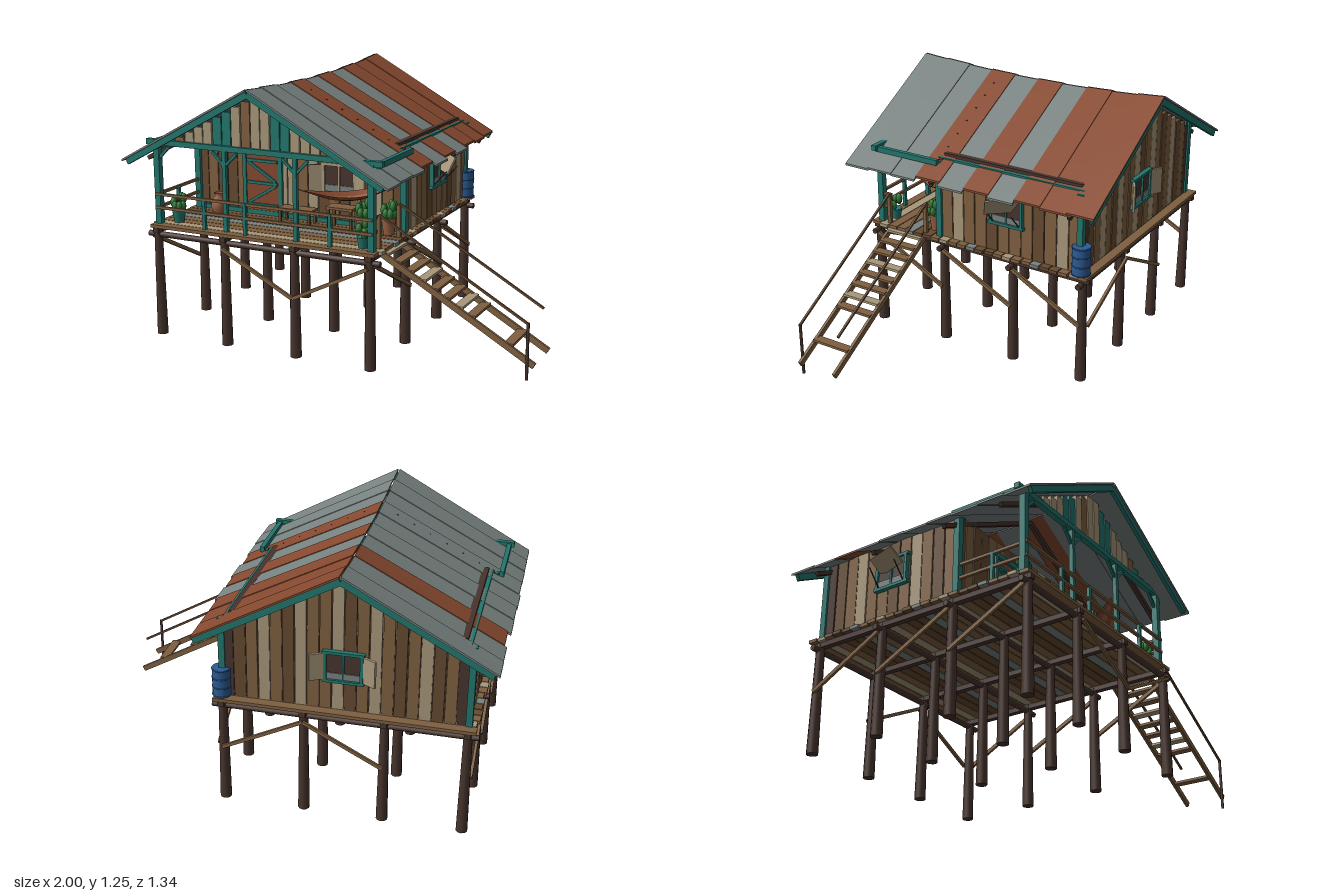
import * as THREE from 'three';

const paint = (name, color) => Object.assign(new THREE.MeshStandardMaterial({ color }), { name });
const V = (x, y, z) => new THREE.Vector3(x, y, z);
const RIDGE = -0.31, FLOOR = 0.55;

export function createModel() {
  const wood = paint('brown wood', 0x7f6040), mid = paint('umber wood', 0x664a31);
  const cream = paint('bleached wood', 0xa8977a), dark = paint('dark timber', 0x47342d);
  const grey = paint('roof tin', 0x788280), rust = paint('rust', 0x86492f);
  const teal = paint('teal paint', 0x23766e), blue = paint('drum blue', 0x2c5c96);
  const green = paint('leaf green', 0x2f7a36);
  const clay = paint('cloth and clay', 0x9a6244);
  clay.side = THREE.DoubleSide;

  const model = new THREE.Group();
  model.name = 'stiltHouse';
  let part = model;
  const section = (name) => { part = new THREE.Group(); part.name = name; model.add(part); };
  let seed = 7;
  const rnd = () => (seed = (seed * 16807) % 2147483647) / 2147483647;

  // Helpers: any mesh, an axis-aligned box, a square beam and a round pole between two points
  const add = (name, mat, geo, x = 0, y = 0, z = 0) => {
    const m = new THREE.Mesh(geo, mat);
    m.name = name;
    m.position.set(x, y, z);
    part.add(m);
    return m;
  };
  const box = (name, mat, w, h, d, x, y, z) => add(name, mat, new THREE.BoxGeometry(w, h, d), x, y, z);
  const beam = (name, mat, a, b, w, h = w) => {
    const c = a.clone().lerp(b, 0.5);
    const m = box(name, mat, w, h, a.distanceTo(b), c.x, c.y, c.z);
    m.lookAt(b);
    return m;
  };
  const pole = (name, mat, a, b, r0, r1 = r0) => {
    const c = a.clone().lerp(b, 0.5);
    const m = add(name, mat, new THREE.CylinderGeometry(r1, r0, a.distanceTo(b), 10), c.x, c.y, c.z);
    m.quaternion.setFromUnitVectors(V(0, 1, 0), b.clone().sub(a).normalize());
    return m;
  };

  // Stilts, bearers and bracing
  const xs = [-0.87, -0.5, -0.13, 0.25], zs = [0.575, 0.19, -0.2, -0.57];
  section('stilts');
  for (const x of xs) for (const z of zs) pole('stilt', dark, V(x, 0, z), V(x, 0.53, z), 0.027, 0.02);
  for (const z of zs) pole('bearer', dark, V(-0.92, 0.5, z), V(0.3, 0.5, z), 0.014);
  for (const x of xs) beam('joist', dark, V(x, 0.522, 0.6), V(x, 0.522, -0.61), 0.03, 0.025);
  for (let i = 0; i < 3; i++) for (const x of [-0.87, 0.25])
    beam('sideBrace', wood, V(x + Math.sign(x) * 0.025, 0.49, zs[i]), V(x + Math.sign(x) * 0.025, 0.29, zs[i + 1]), 0.013, 0.018);
  for (const i of [1, 2]) {
    const up = i === 1 ? [0.48, 0.29] : [0.29, 0.48];
    beam('frontBrace', wood, V(xs[i], up[0], 0.605), V(xs[i + 1], up[1], 0.605), 0.013, 0.016);
    beam('backBrace', wood, V(xs[i], up[1], -0.6), V(xs[i + 1], up[0], -0.6), 0.013, 0.016);
  }

  // Deck planks
  section('deck');
  const plankMats = [wood, mid, wood, cream, mid, grey, wood];
  for (let i = 0; i < 24; i++)
    box('plank', plankMats[(i * 3) % 7], 1.18 + rnd() * 0.03, 0.016, 0.046, -0.31, 0.541, 0.575 - i * 0.0505);

  // Roof height, sagging along the middle of the ridge
  const roofY = (x, z) => {
    const d = Math.abs(x - RIDGE);
    return 1.243 - 0.55 * d - 0.028 * (1 - (z / 0.67) ** 2) * (1 - d / 0.68);
  };
  section('roof');
  const sheets = { 1: 'gggrgrgrrr', '-1': 'gggggggrgg' };
  for (const s of [1, -1]) for (let i = 0; i < 10; i++) {
    const z = 0.603 - i * 0.134, red = sheets[s][i] === 'r';
    const len = (red ? 0.662 : 0.678) + rnd() * 0.008, lift = (i % 2) * 0.004;
    const g = new THREE.BoxGeometry(len, 0.01, 0.136, 8, 1, 3), p = g.attributes.position;
    for (let k = 0; k < p.count; k++) {
      const x = RIDGE + s * (len / 2 + 0.004) + p.getX(k), zz = z + p.getZ(k);
      p.setXYZ(k, x, roofY(x, zz) + p.getY(k) + lift, zz);
    }
    g.computeVertexNormals();
    add('roofSheet', red ? rust : grey, g);
  }
  for (const s of [1, -1]) {
    for (const z of [0.655, -0.655])
      beam('bargeBoard', teal, V(RIDGE, 1.222, z), V(RIDGE + s * 0.66, 0.862, z), 0.018, 0.032);
    for (const z of [0.5, 0.2, -0.2, -0.54])
      beam('rafter', dark, V(RIDGE, 1.19, z), V(RIDGE + s * 0.65, 0.85, z), 0.02);
    beam('wallPlate', dark, V(RIDGE + s * 0.515, 0.952, 0.2), V(RIDGE + s * 0.515, 0.952, -0.54), 0.03);
    beam('sidePlate', teal, V(RIDGE + s * 0.54, 0.938, 0.22), V(RIDGE + s * 0.54, 0.938, -0.56), 0.02, 0.024);
    beam('porchPlate', teal, V(RIDGE + s * 0.59, 0.938, 0.2), V(RIDGE + s * 0.59, 0.938, 0.56), 0.022, 0.026);
    for (let i = 1; i < 8; i++) {
      const x = RIDGE + s * i * 0.08;
      box('nail', dark, 0.007, 0.007, 0.007, x, roofY(x, 0.21) + 0.007, 0.21);
    }
  }
  box('frontTieBeam', teal, 1.23, 0.026, 0.026, RIDGE, 0.945, 0.555);

  // Board walls: each letter is one board, w wood, m umber, c cream, d dark, t teal
  const key = { w: wood, m: mid, c: cream, d: dark, t: teal };
  const crossWall = (name, code, z, y0, top) => {
    section(name);
    const w = 1.12 / code.length;
    [...code].forEach((c, i) => {
      const x = -0.87 + (i + 0.5) * w, y1 = top ?? roofY(x, z) - 0.024;
      if (y1 > y0) box('board', key[c], w - 0.005, y1 - y0, 0.014 + (i % 3) * 0.003, x, (y0 + y1) / 2, z);
    });
    box('backing', dark, 1.1, 0.36, 0.006, RIDGE, 0.74, z > 0.5 ? 0.2 : z);
  };
  crossWall('frontWall', 'mwmmwwmmccwcmwmwmcwm', 0.2, FLOOR, 0.95);
  crossWall('frontGable', 'ccwcccttcwccttcccwtccc', 0.545, 0.945);
  crossWall('backWall', 'dwmcwmwcwmcwwcmwcwmd', -0.555, FLOOR);
  for (const [name, code, x] of [['leftWall', 'wcwwmwwwmwcw', 0.245], ['rightWall', 'wmwcwmwwcwmd', -0.865]]) {
    section(name);
    [...code].forEach((c, i) => box('board', key[c], 0.014 + (i % 3) * 0.003, 0.38, 0.058, x, 0.74, 0.168 - i * 0.063));
    box('backing', dark, 0.006, 0.36, 0.75, x, 0.74, -0.18);
  }

  // Corner posts and porch posts with forked braces
  section('posts');
  for (const x of [-0.87, 0.25]) for (const z of [0.555, 0.21, -0.555])
    box('cornerPost', teal, 0.03, 0.39, 0.03, x, 0.745, z);
  for (const x of xs) {
    if (x === -0.5 || x === -0.13) box('porchPost', teal, 0.02, 0.39, 0.02, x, 0.745, 0.555);
    for (const s of [-1, 1]) if (x + s * 0.07 > -0.9 && x + s * 0.07 < 0.28)
      beam('postBrace', teal, V(x, 0.86, 0.555), V(x + s * 0.065, 0.925, 0.555), 0.013);
  }
  box('skirting', teal, 1.12, 0.022, 0.012, RIDGE, 0.561, 0.214);

  // Door with zigzag ledges
  section('door');
  box('doorPanel', rust, 0.18, 0.31, 0.016, -0.5, 0.705, 0.209);
  for (const s of [-1, 1]) box('doorJamb', teal, 0.02, 0.33, 0.026, -0.5 + s * 0.1, 0.715, 0.21);
  box('doorHead', teal, 0.24, 0.022, 0.028, -0.5, 0.875, 0.21);
  for (const y of [0.6, 0.71, 0.82]) box('ledge', teal, 0.17, 0.014, 0.01, -0.5, y, 0.221);
  beam('doorBrace', teal, V(-0.575, 0.61, 0.221), V(-0.425, 0.7, 0.221), 0.01, 0.014);
  beam('doorBrace', teal, V(-0.425, 0.72, 0.221), V(-0.575, 0.81, 0.221), 0.01, 0.014);

  // Windows are made facing +z, then turned to their wall
  const makeWindow = (name, x, z, turn, frame, cover) => {
    section(name);
    part.position.set(x, 0.77, z);
    part.rotation.y = turn;
    box('opening', dark, 0.16, 0.13, 0.008, 0, 0, 0.01);
    box('curtain', grey, 0.15, 0.03, 0.004, 0, -0.045, 0.016);
    for (const s of [-1, 1]) {
      box('windowRail', frame, 0.19, 0.014, 0.024, 0, s * 0.07, 0.012);
      box('windowStile', frame, 0.014, 0.15, 0.024, s * 0.082, 0, 0.012);
      if (cover === 'awning') pole('awningProp', dark, V(s * 0.07, -0.06, 0.02), V(s * 0.07, 0.012, 0.085), 0.003);
      else box('shutter', cream, 0.07, 0.13, 0.012, s * 0.118, 0, 0.03).rotation.y = -s * 0.5;
    }
    if (cover === 'awning') beam('awning', cream, V(0, 0.066, 0.02), V(0, 0.012, 0.09), 0.16, 0.008);
    box('windowBar', frame, 0.009, 0.13, 0.01, 0, 0, 0.018);
  };
  makeWindow('leftWindow', 0.25, -0.17, Math.PI / 2, teal, 'awning');
  makeWindow('rightWindow', -0.87, -0.15, -Math.PI / 2, teal, 'awning');
  makeWindow('backWindow', -0.31, -0.562, Math.PI, teal, 'shutters');
  makeWindow('frontWindow', -0.08, 0.206, 0, cream, 'shutters');

  // Porch railing, open at the stairs
  section('railing');
  for (const y of [0.63, 0.695]) {
    beam('frontRail', wood, V(-0.88, y, 0.57), V(0.26, y, 0.57), 0.013);
    beam('sideRail', wood, V(-0.87, y, 0.57), V(-0.87, y, 0.21), 0.013);
    beam('stairRail', wood, V(0.25, y, 0.57), V(0.25, y, 0.5), 0.013);
  }
  for (const x of [-0.61, -0.39, 0.05]) box('railPost', teal, 0.016, 0.15, 0.016, x, 0.625, 0.57);
  box('railPost', teal, 0.016, 0.15, 0.016, -0.87, 0.625, 0.395);
  for (const z of [0.29, 0.505]) box('newel', wood, 0.018, 0.15, 0.018, 0.26, 0.625, z);

  // Stairs with a missing tread
  section('stairs');
  for (const z of [0.295, 0.495]) {
    beam('stringer', wood, V(0.27, 0.525, z), V(0.99, 0.115, z), 0.014, 0.028);
    beam('handrail', mid, V(0.26, 0.705, z + (z > 0.4 ? 0.01 : -0.01)), V(0.96, 0.305, z + (z > 0.4 ? 0.01 : -0.01)), 0.01);
  }
  for (let i = 0; i < 11; i++) if (i !== 8 && i !== 9) {
    const x = 0.285 + i * 0.0585;
    box('tread', i % 3 ? wood : cream, 0.045, 0.012, 0.2, x, 0.535 - (x - 0.27) * 0.57, 0.395);
  }
  pole('railStake', dark, V(0.96, 0.05, 0.505), V(0.96, 0.31, 0.505), 0.007);

  // Hammock slung from a porch post to the house corner
  section('hammock');
  const from = V(-0.12, 0.79, 0.545), to = V(0.24, 0.79, 0.22);
  const across = V(0.325, 0, 0.36).normalize();
  for (let k = 0; k < 5; k++) {
    const g = new THREE.PlaneGeometry(1, 1, 16, 1), p = g.attributes.position;
    for (let i = 0; i < p.count; i++) {
      const t = 0.06 + (p.getX(i) + 0.5) * 0.88, v = (k + 0.5 + p.getY(i)) / 2.5 - 1;
      const bow = Math.sin(Math.PI * t), q = from.clone().lerp(to, t);
      q.addScaledVector(across, v * 0.065 * bow);
      q.y -= bow * (0.07 - 0.03 * v * v);
      p.setXYZ(i, q.x, q.y, q.z);
    }
    g.computeVertexNormals();
    const m = clay;
    add('hammockStripe', k % 2 ? m : rust, g);
    const under = g.clone();
    under.setIndex([...g.index.array].reverse());
    under.computeVertexNormals();
    add('hammockUnderside', k % 2 ? m : rust, under);
  }
  pole('hammockRope', cream, from, from.clone().lerp(to, 0.07).setY(0.775), 0.003);
  pole('hammockRope', cream, to, to.clone().lerp(from, 0.07).setY(0.775), 0.003);

  // Potted plants, bench, table and water drum
  section('porchItems');
  const plant = (mat, x, z, h, r, leaf) => {
    add('pot', mat, new THREE.CylinderGeometry(r, r * 0.7, h, 12), x, FLOOR + h / 2, z);
    for (let i = 0; i < leaf; i++) {
      const m = add('leaf', green, new THREE.SphereGeometry(0.02, 8, 6), x + Math.cos(i * 2.4) * r * 0.7, FLOOR + h + 0.02 + (i % 3) * 0.018, z + Math.sin(i * 2.4) * r * 0.7);
      m.scale.set(0.8, 1.3, 0.8);
    }
  };
  plant(teal, -0.8, 0.5, 0.06, 0.034, 7);
  plant(clay, 0.09, 0.3, 0.08, 0.042, 8);
  plant(clay, 0.2, 0.27, 0.08, 0.036, 9);
  plant(teal, 0.19, 0.52, 0.05, 0.03, 5);
  const jar = [[0, 0], [0.028, 0], [0.042, 0.04], [0.036, 0.075], [0.02, 0.095], [0.025, 0.11]];
  add('jar', clay, new THREE.LatheGeometry(jar.map(([x, y]) => new THREE.Vector2(x, y)), 16), -0.7, FLOOR, 0.3);
  for (const [name, x, y, w] of [['bench', -0.28, 0.615, 0.18], ['table', -0.04, 0.65, 0.14]]) {
    box(name + 'Top', wood, w, 0.012, 0.08, x, y, 0.27);
    for (const s of [-1, 1]) for (const d of [-1, 1])
      box(name + 'Leg', mid, 0.012, y - FLOOR, 0.012, x + s * (w / 2 - 0.012), (y + FLOOR) / 2, 0.27 + d * 0.03);
  }
  add('waterDrum', blue, new THREE.CylinderGeometry(0.043, 0.043, 0.14, 20), 0.255, FLOOR + 0.07, -0.562);
  for (const y of [0.004, 0.047, 0.093, 0.136])
    add('drumRib', blue, new THREE.TorusGeometry(0.043, 0.003, 6, 20).rotateX(Math.PI / 2), 0.255, FLOOR + y, -0.562);
  return model;
}
